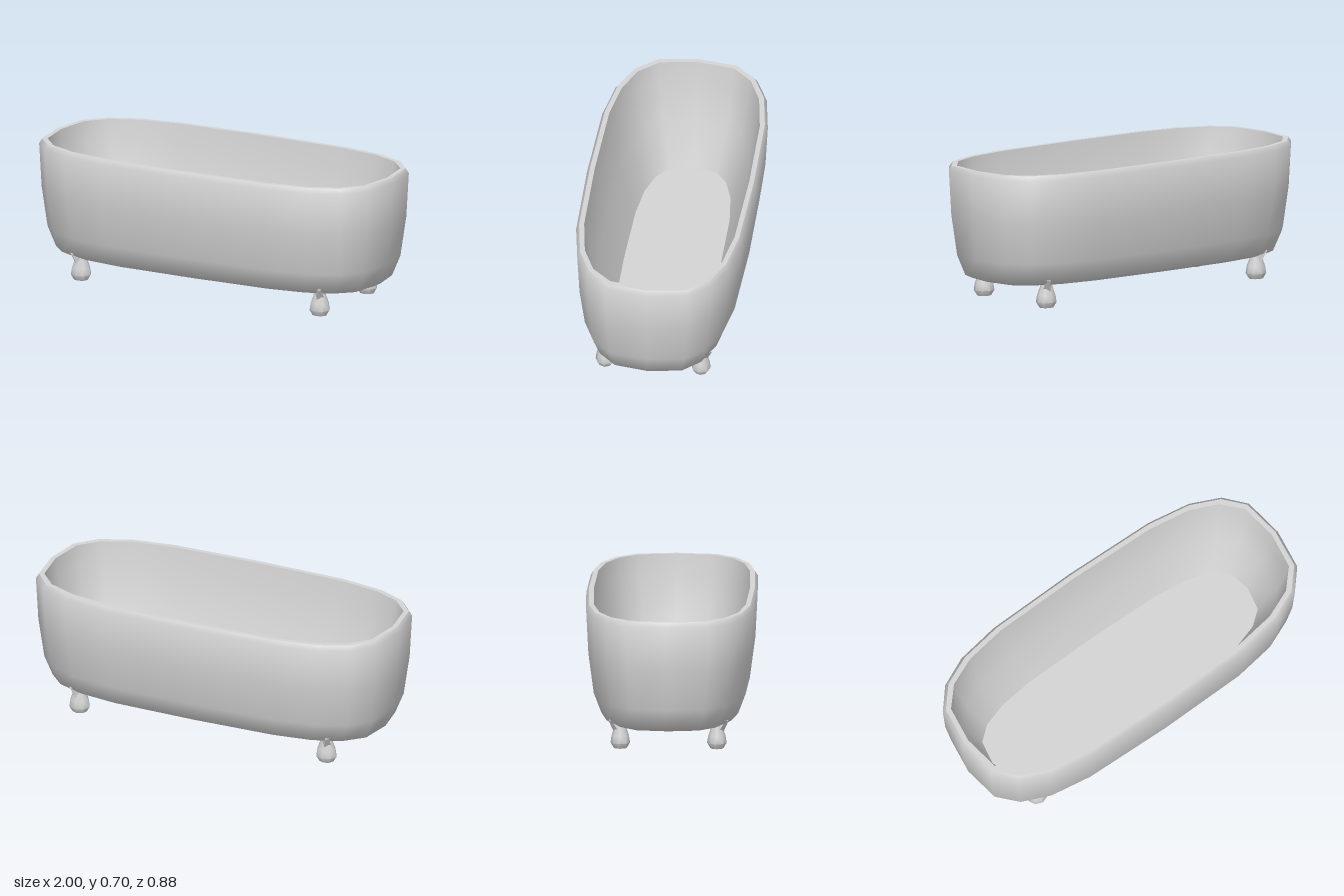
import * as THREE from 'three';
import { toCreasedNormals } from 'three/addons/utils/BufferGeometryUtils.js';

// One quarter of the unit plan outline, from the +x end to the +z side
const QUARTER = [[1, 0], [0.97, 0.48], [0.875, 0.73], [0.72, 0.89], [0.49, 0.975]];

// Full outline by mirroring the quarter
function outline() {
  const q = QUARTER, back = q.slice(1).reverse();
  return [
    ...q, [0, 1],
    ...back.map(([x, z]) => [-x, z]),
    ...q.map(([x, z]) => [-x, -z]), [0, -1],
    ...back.map(([x, z]) => [x, -z]),
  ];
}

// Skin a list of rings [y, half length, half width]; a ring of size 0 closes the end
function loft(rings) {
  const plan = outline(), n = plan.length, pos = [], idx = [];
  for (const [y, sx, sz] of rings) for (const [x, z] of plan) pos.push(x * sx, y, z * sz);
  for (let i = 0; i < rings.length - 1; i++) {
    for (let j = 0; j < n; j++) {
      const k = (j + 1) % n;
      const a = i * n + j, b = i * n + k, c = a + n, d = b + n;
      // Leave out the collapsed triangles at closed ends
      if (rings[i][1] > 0) idx.push(a, c, b);
      if (rings[i + 1][1] > 0) idx.push(b, c, d);
    }
  }
  const g = new THREE.BufferGeometry();
  g.setAttribute('position', new THREE.Float32BufferAttribute(pos, 3));
  g.setIndex(idx);
  return toCreasedNormals(g, 0.9);
}

export function createModel() {
  const group = new THREE.Group();
  const enamel = new THREE.MeshStandardMaterial({ color: 0xd4d4d4 });
  enamel.name = 'greyEnamel';

  const add = (parent, name, geometry) => {
    const mesh = new THREE.Mesh(geometry, enamel);
    mesh.name = name;
    parent.add(mesh);
    return mesh;
  };

  // Underside, outer wall and rounded rim
  add(group, 'outerShell', loft([
    [0.12, 0, 0], [0.12, 0.85, 0.3], [0.12, 0.89, 0.33], [0.135, 0.92, 0.36], [0.24, 0.96, 0.4],
    [0.45, 0.988, 0.428], [0.68, 1, 0.44], [0.705, 0.985, 0.425], [0.705, 0.96, 0.4],
  ]));

  // Sloping inner wall and flat floor
  add(group, 'innerWall', loft([
    [0.705, 0.96, 0.4], [0.6, 0.947, 0.387], [0.38, 0.902, 0.342], [0.135, 0.81, 0.25],
  ]));
  add(group, 'floor', loft([[0.135, 0.81, 0.25], [0.135, 0, 0]]));

  // Foot: bulbous turned leg
  const profile = [[0, 0], [0.036, 0], [0.053, 0.028], [0.047, 0.065], [0.032, 0.107], [0.03, 0.122], [0, 0.122]]
    .map(([r, y]) => new THREE.Vector2(r, y));
  const footGeometry = toCreasedNormals(new THREE.LatheGeometry(profile, 8), 0.9);
  const up = new THREE.Vector3(0, 1, 0);

  for (const sx of [1, -1]) {
    for (const sz of [1, -1]) {
      const foot = new THREE.Group();
      foot.name = (sz > 0 ? 'front' : 'back') + (sx > 0 ? 'Left' : 'Right') + 'Foot';
      foot.position.set(sx * 0.703, 0, sz * 0.248);
      group.add(foot);
      add(foot, 'leg', footGeometry).scale.set(1.06, 1, 0.95);

      // Bracket reaching up and outward to the basin wall
      const from = new THREE.Vector3(sx * 0.005, 0.1, sz * 0.012);
      const to = new THREE.Vector3(sx * 0.024, 0.152, sz * 0.048);
      const dir = to.clone().sub(from);
      const bracket = add(foot, 'bracket',
        new THREE.CylinderGeometry(0.014, 0.027, dir.length(), 4).toNonIndexed());
      bracket.geometry.computeVertexNormals();
      bracket.position.copy(from).addScaledVector(dir, 0.5);
      bracket.quaternion.setFromUnitVectors(up, dir.normalize());
    }
  }
  return group;
}
